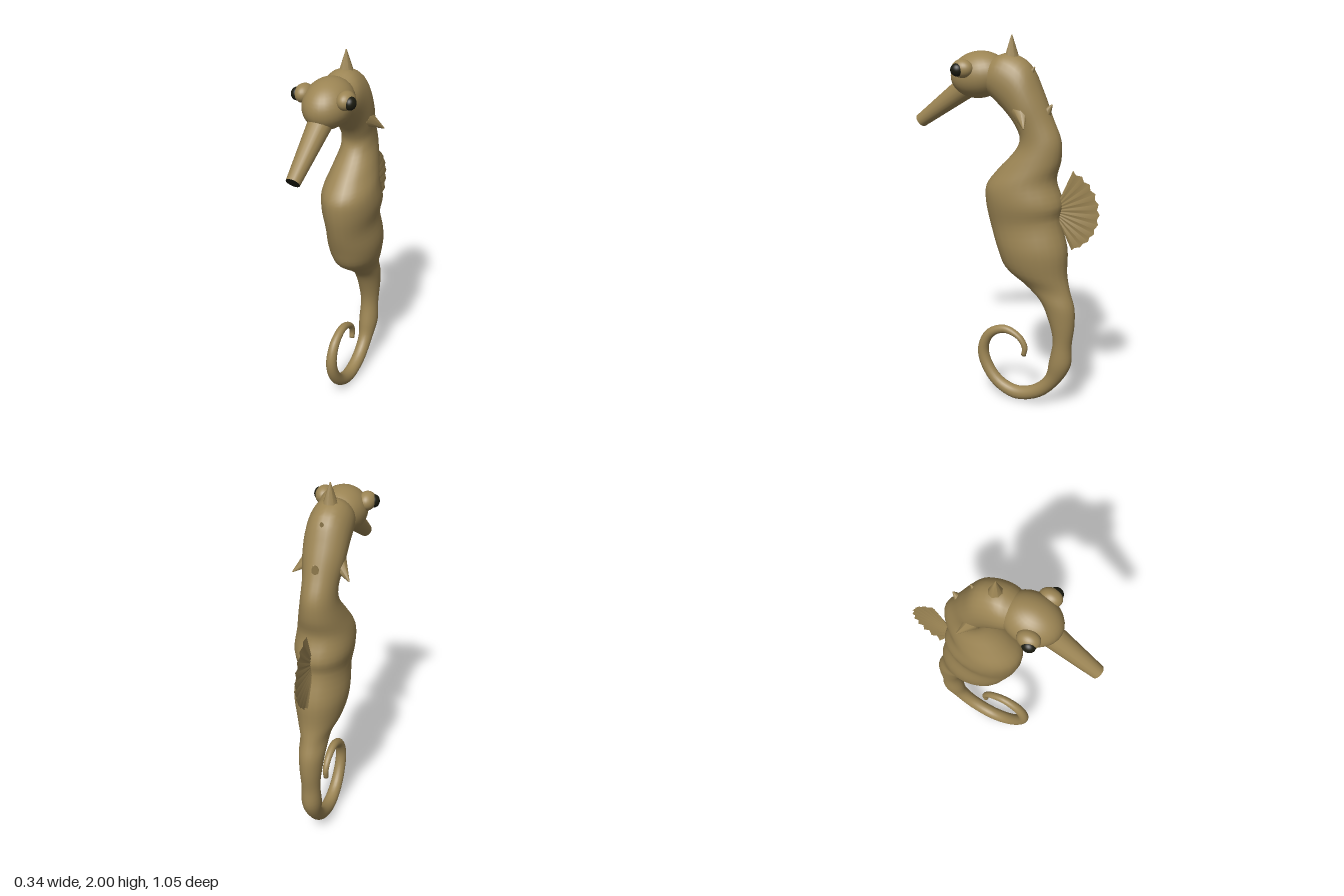
import * as THREE from 'three';

const skin = new THREE.MeshStandardMaterial({ color: 0x9c8554 });
skin.name = 'sandy skin';
const dark = new THREE.MeshStandardMaterial({ color: 0x1b1b10 });
dark.name = 'dark pupil';
const finSkin = skin.clone();
finSkin.side = THREE.DoubleSide;

// Body sections, neck to tail tip: belly z, belly y, back z, back y, half width
const SECTIONS = [
  [0.10, 1.71, 0.07, 1.88, 0.085], [0.06, 1.68, -0.02, 1.91, 0.105],
  [-0.02, 1.61, -0.13, 1.865, 0.11], [-0.075, 1.545, -0.20, 1.74, 0.105],
  [-0.095, 1.485, -0.26, 1.605, 0.09], [-0.065, 1.42, -0.31, 1.49, 0.092],
  [0.03, 1.315, -0.31, 1.385, 0.115], [0.095, 1.225, -0.285, 1.28, 0.14],
  [0.10, 1.145, -0.325, 1.16, 0.147], [0.075, 1.02, -0.312, 1.08, 0.13],
  [0.035, 0.90, -0.352, 0.92, 0.138], [-0.01, 0.795, -0.355, 0.78, 0.115],
  [-0.115, 0.715, -0.375, 0.69, 0.078], [-0.21, 0.635, -0.402, 0.60, 0.07],
  [-0.26, 0.535, -0.405, 0.50, 0.06], [-0.29, 0.41, -0.392, 0.385, 0.05],
  [-0.27, 0.28, -0.39, 0.27, 0.053], [-0.25, 0.19, -0.335, 0.165, 0.04],
  [-0.18, 0.115, -0.22, 0.05, 0.037], [-0.075, 0.08, -0.065, 0.005, 0.036],
  [0.02, 0.11, 0.065, 0.06, 0.034], [0.085, 0.19, 0.145, 0.165, 0.031],
  [0.105, 0.27, 0.165, 0.27, 0.029], [0.075, 0.345, 0.115, 0.38, 0.026],
  [0.005, 0.385, 0.005, 0.43, 0.022], [-0.075, 0.365, -0.095, 0.39, 0.019],
  [-0.105, 0.315, -0.135, 0.325, 0.016], [-0.10, 0.28, -0.125, 0.27, 0.014],
];

// Smooth loft through the elliptical sections, closed at both ends
function bodyGeometry() {
  const belly = new THREE.CatmullRomCurve3(SECTIONS.map(s => new THREE.Vector3(0, s[1], s[0])));
  const back = new THREE.CatmullRomCurve3(SECTIONS.map(s => new THREE.Vector3(s[4], s[3], s[2])));
  const sides = 24, steps = (SECTIONS.length - 1) * 4;
  const pos = [], idx = [];
  for (let i = -1; i <= steps + 1; i++) {
    const t = THREE.MathUtils.clamp(i / steps, 0, 1);
    const k = i < 0 || i > steps ? 0 : 1;
    const f = belly.getPoint(t), b = back.getPoint(t);
    for (let j = 0; j < sides; j++) {
      const a = (j / sides) * Math.PI * 2, c = (k * Math.cos(a)) / 2;
      pos.push(k * b.x * Math.sin(a), (f.y + b.y) / 2 + c * (f.y - b.y), (f.z + b.z) / 2 + c * (f.z - b.z));
    }
  }
  for (let i = 0; i < steps + 2; i++) {
    for (let j = 0; j < sides; j++) {
      const n = (j + 1) % sides;
      const p = i * sides + j, q = i * sides + n;
      idx.push(p, p + sides, q, q, p + sides, q + sides);
    }
  }
  const g = new THREE.BufferGeometry();
  g.setAttribute('position', new THREE.Float32BufferAttribute(pos, 3));
  g.setIndex(idx);
  g.computeVertexNormals();
  return g;
}

// Pleated fan standing in the middle plane, with a scalloped rim
function finGeometry() {
  const rays = 20, pos = [], idx = [];
  for (let i = 0; i <= rays; i++) {
    const t = i / rays, a = THREE.MathUtils.lerp(1.23, -1.23, t);
    const r = i % 2 ? 0.215 : 0.224, x = i % 2 ? 0.006 : -0.006;
    pos.push(x / 3, THREE.MathUtils.lerp(1.165, 1.085, t), -0.3);
    pos.push(x, 1.135 + r * Math.sin(a), -0.305 - r * Math.cos(a));
    if (i < rays) idx.push(2 * i, 2 * i + 1, 2 * i + 2, 2 * i + 2, 2 * i + 1, 2 * i + 3);
  }
  const g = new THREE.BufferGeometry();
  g.setAttribute('position', new THREE.Float32BufferAttribute(pos, 3));
  g.setIndex(idx);
  g.computeVertexNormals();
  return g;
}

export function createModel() {
  const model = new THREE.Group();
  model.name = 'seahorse';

  const add = (name, geometry, material) => {
    const mesh = new THREE.Mesh(geometry, material);
    mesh.name = name;
    model.add(mesh);
    return mesh;
  };
  const ellipsoid = (name, material, centre, radii) => {
    const mesh = add(name, new THREE.SphereGeometry(1, 28, 20), material);
    mesh.position.set(...centre);
    mesh.scale.set(...radii);
    return mesh;
  };
  // Tapered round piece from one point to another
  const taper = (name, material, from, to, r0, r1, sides) => {
    const a = new THREE.Vector3(...from), b = new THREE.Vector3(...to);
    const dir = b.clone().sub(a);
    const mesh = add(name, new THREE.CylinderGeometry(r1, r0, dir.length(), sides), material);
    mesh.position.copy(a).add(b).multiplyScalar(0.5);
    mesh.quaternion.setFromUnitVectors(new THREE.Vector3(0, 1, 0), dir.normalize());
    return mesh;
  };

  add('bodyAndTail', bodyGeometry(), skin);
  add('backFin', finGeometry(), finSkin);

  // Head and snout with a dark mouth
  ellipsoid('head', skin, [0, 1.79, 0.145], [0.123, 0.119, 0.155]).rotation.x = 0.2;
  taper('snout', [skin, dark, skin], [0, 1.745, 0.19], [0, 1.517, 0.5], 0.064, 0.036, 16);

  // Crown and back spikes
  taper('crownSpike', skin, [0, 1.88, -0.038], [0, 2, -0.038], 0.042, 0.003, 8);
  taper('smallNeckSpike', skin, [0, 1.82, -0.145], [0, 1.85, -0.165], 0.016, 0.003, 8);
  taper('backSpike', skin, [0, 1.615, -0.225], [0, 1.67, -0.262], 0.032, 0.004, 8);

  // Paired eyes and neck spikes
  for (const [side, s] of [['left', 1], ['right', -1]]) {
    ellipsoid(side + 'Eye', skin, [s * 0.112, 1.833, 0.182], [0.045, 0.047, 0.058]);
    ellipsoid(side + 'Pupil', dark, [s * 0.142, 1.83, 0.197], [0.029, 0.033, 0.034]);
    taper(side + 'NeckSpike', skin, [s * 0.07, 1.632, -0.118], [s * 0.146, 1.568, -0.175], 0.045, 0.003, 8);
  }
  return model;
}
